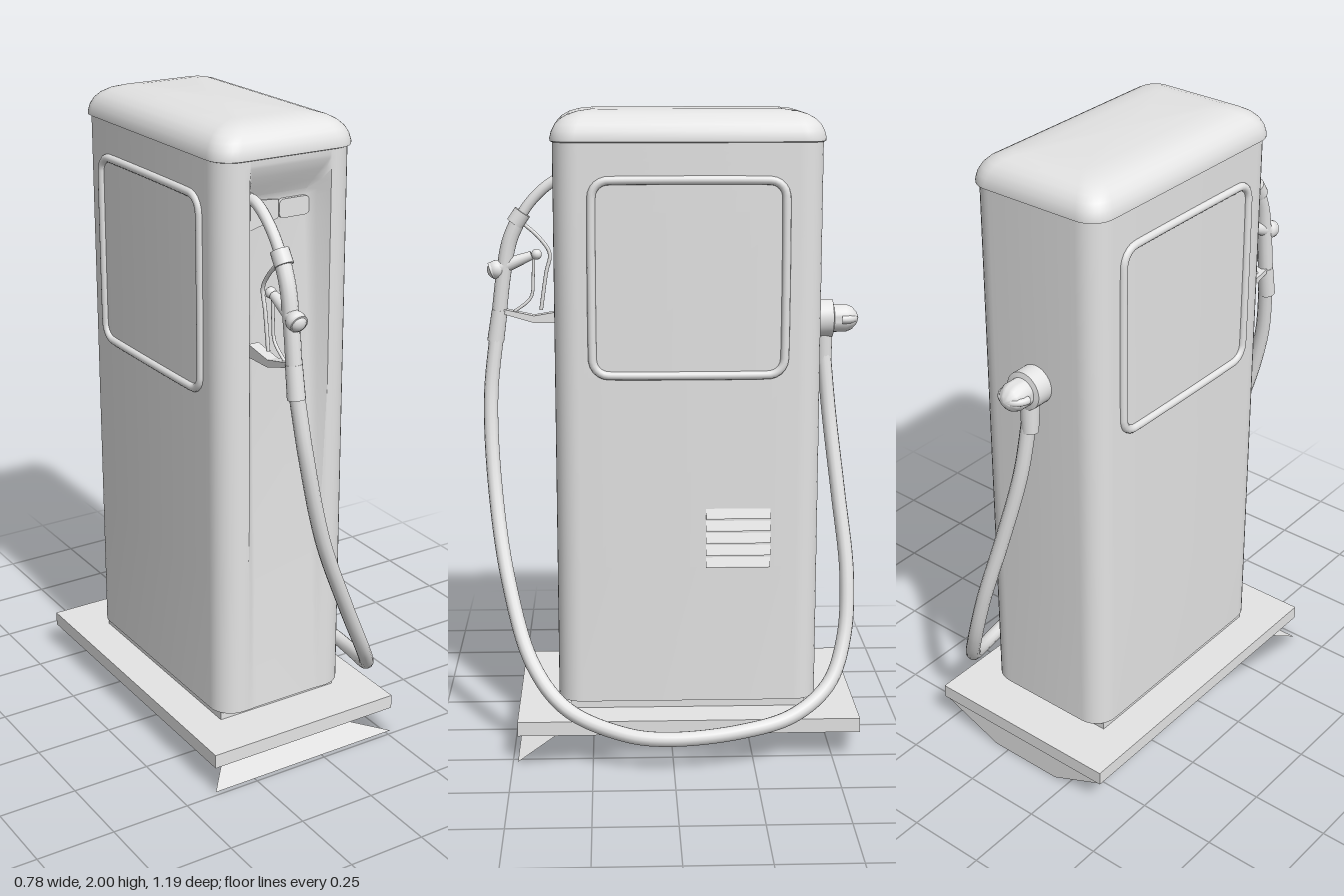
import * as THREE from 'three';
import { toCreasedNormals } from 'three/addons/utils/BufferGeometryUtils.js';

const CX = -0.056, CZ = -0.05, HW = 0.23, HD = 0.408;
const V = (x, y, z) => new THREE.Vector3(x, y, z);

export function createModel() {
  const model = new THREE.Group();
  const grey = new THREE.MeshStandardMaterial({ color: 0xe4e4e4 });
  grey.name = 'light grey';

  const add = (name, geo, x = 0, y = 0, z = 0) => {
    const m = new THREE.Mesh(geo, grey);
    m.name = name;
    m.position.set(x, y, z);
    model.add(m);
    return m;
  };
  const box = (name, x0, x1, y0, y1, z0, z1) =>
    add(name, new THREE.BoxGeometry(x1 - x0, y1 - y0, z1 - z0), (x0 + x1) / 2, (y0 + y1) / 2, (z0 + z1) / 2);
  const tube = (name, pts, r, segs = 24, closed = false) =>
    add(name, new THREE.TubeGeometry(new THREE.CatmullRomCurve3(pts, closed, 'centripetal'), segs, r, 12, closed));
  // straight round bar between two points
  const bar = (name, a, b, r0, r1 = r0) => {
    const m = add(name, new THREE.CylinderGeometry(r1, r0, a.distanceTo(b), 18));
    m.position.copy(a).lerp(b, 0.5);
    m.quaternion.setFromUnitVectors(V(0, 1, 0), b.clone().sub(a).normalize());
    return m;
  };

  // rounded rectangle as [u, v] points; extra points follow the first corner
  const outline = (hw, hd, r, extra = []) => {
    const pts = [];
    [[1, 1], [-1, 1], [-1, -1], [1, -1]].forEach(([sx, sz], q) => {
      for (let i = 0; i <= 8; i++) {
        const a = (q + i / 8) * Math.PI / 2;
        pts.push([sx * (hw - r) + r * Math.cos(a), sz * (hd - r) + r * Math.sin(a)]);
      }
      if (q === 0) pts.push(...extra);
    });
    return pts;
  };

  // skin over stacked rings, closed at both ends
  const loft = (rings, crease) => {
    const pos = [], put = (...vs) => vs.forEach(v => pos.push(v.x, v.y, v.z));
    const n = rings[0].length;
    const mid = r => V(CX, r[0].y, CZ);
    const last = rings[rings.length - 1];
    for (let j = 0; j < n; j++) {
      const k = (j + 1) % n;
      for (let i = 0; i + 1 < rings.length; i++) {
        const [a, b, c, d] = [rings[i][j], rings[i][k], rings[i + 1][j], rings[i + 1][k]];
        put(a, c, b, b, c, d);
      }
      put(mid(rings[0]), rings[0][j], rings[0][k]);
      put(mid(last), last[k], last[j]);
    }
    const g = new THREE.BufferGeometry();
    g.setAttribute('position', new THREE.Float32BufferAttribute(pos, 3));
    return toCreasedNormals(g, crease);
  };
  const ring = (pts, y) => pts.map(([x, z]) => V(CX + x, y, CZ + z));

  // cabinet: [height, recess depth, recess floor inset]; the front recess fades towards the foot
  const bodyLevels = [[0.16, 0.002, 0.03], [0.6, 0.02, 0.032], [1.2, 0.045, 0.038], [1.7, 0.068, 0.045],
    [1.765, 0.07, 0.046], [1.785, 0.063, 0.042], [1.815, 0.043, 0.033], [1.85, 0.02, 0.02],
    [1.88, 0.004, 0.01], [1.89, 0, 0.008], [1.915, 0, 0.008]];
  add('cabinet', loft(bodyLevels.map(([y, d, s]) => ring(outline(HW, HD, 0.075, [
    [0.14, HD], [0.14 - s / 2, HD - d * 0.6], [0.14 - s, HD - d],
    [-0.135 + s, HD - d], [-0.135 + s / 2, HD - d * 0.6], [-0.135, HD]]), y)), 0.9));

  // domed lid with a small lip: [height, offset]
  const lidLevels = [[1.905, 0], [1.908, 0.007], [1.918, 0.007], [1.938, 0.002], [1.957, -0.008],
    [1.973, -0.024], [1.986, -0.047], [1.995, -0.078], [2, -0.12]];
  add('lid', loft(lidLevels.map(([y, o]) =>
    ring(outline(HW + o, HD + o, Math.max(0.07 + o * 0.4, 0.03)), y)), 0.8));

  // base slab and plinth
  box('baseSlab', -0.39, 0.27, 0.085, 0.13, -0.585, 0.485);
  box('plinth', -0.27, 0.15, 0.13, 0.165, -0.42, 0.32);

  // wedge-shaped footing, open at the front corners; A is its inner peak
  const f = {
    L: [-0.39, 0, 0.485], R: [0.27, 0, 0.485], l: [-0.2, 0, -0.58], r: [0.05, 0, -0.58],
    lt: [-0.39, 0.085, -0.58], rt: [0.27, 0.085, -0.58], A: [-0.12, 0.085, 0.16],
  };
  const faces = ['L l R', 'R l r', 'L R A', 'A r rt', 'A lt l', 'l lt rt', 'l rt r'];
  const foot = new THREE.BufferGeometry();
  foot.setAttribute('position', new THREE.Float32BufferAttribute(
    faces.flatMap(t => t.split(' ').flatMap(k => f[k])), 3));
  foot.computeVertexNormals();
  add('footing', foot);

  // window frames on both sides
  for (const [name, x] of [['leftWindowFrame', CX + HW], ['rightWindowFrame', CX - HW]])
    tube(name, outline(0.292, 0.294, 0.05).map(([z, y]) => V(x, 1.5 + y, -0.05 + z)), 0.013, 160, true);

  // vent slats: each leans out towards its lower edge
  for (let i = 0; i < 5; i++) {
    const s = new THREE.Shape([[0, 0], [0.011, 0.002], [0.011, 0.005], [0, 0.036]].map(p => new THREE.Vector2(...p)));
    add('ventSlat', new THREE.ExtrudeGeometry(s, { depth: 0.2, bevelEnabled: false }),
      CX + HW - 0.001, 0.597 + i * 0.039, -0.305);
  }

  // switch plate and spout rest inside the recess
  const plate = new THREE.Shape(outline(0.052, 0.028, 0.016).map(p => new THREE.Vector2(...p)));
  add('switchPlate', new THREE.ExtrudeGeometry(plate, { depth: 0.02, bevelEnabled: false }), -0.003, 1.737, 0.28);
  const rest = new THREE.Shape([[-0.15, 1.685], [-0.055, 1.71], [-0.055, 1.765], [-0.15, 1.775]]
    .map(p => new THREE.Vector2(...p)));
  add('spoutRest', new THREE.ExtrudeGeometry(rest, { depth: 0.015, bevelEnabled: false }), 0, 0, 0.28);

  // swivel joint on the back
  const joint = [[0, 0], [0.06, 0], [0.06, 0.058], [0.044, 0.062], [0.044, 0.1], [0.036, 0.12], [0.018, 0.136], [0, 0.142]];
  const swivel = add('swivelJoint', toCreasedNormals(new THREE.LatheGeometry(
    joint.map(p => new THREE.Vector2(...p)), 32), 0.6), -0.057, 1.345, -0.455);
  swivel.rotation.x = -Math.PI / 2;
  add('swivelCap', new THREE.TorusGeometry(0.042, 0.013, 10, 24, Math.PI), -0.057, 1.345, -0.54).rotation.x = -Math.PI / 2;
  bar('hoseCollar', V(-0.057, 1.2, -0.488), V(-0.057, 1.3, -0.485), 0.026, 0.03);

  // hose looping from the back, round the left side, to the nozzle
  tube('hose', [[-0.057, 1.26, -0.486], [-0.03, 1.05, -0.505], [0.03, 0.8, -0.532], [0.1, 0.55, -0.556],
    [0.16, 0.36, -0.543], [0.225, 0.23, -0.49], [0.295, 0.152, -0.372], [0.345, 0.12, -0.2], [0.365, 0.107, 0.02],
    [0.347, 0.117, 0.15], [0.278, 0.175, 0.33], [0.19, 0.29, 0.437], [0.06, 0.52, 0.515], [-0.065, 0.8, 0.56],
    [-0.135, 1.08, 0.572], [-0.16, 1.3, 0.549]].map(p => V(...p)), 0.023, 140);

  // nozzle: sleeve, handle, spout, valve, lever guard
  const X = -0.16, P = (y, z) => V(X, y, z);
  bar('nozzleSleeve', P(1.26, 0.555), P(1.36, 0.54), 0.027, 0.025);
  tube('nozzleHandle', [P(1.34, 0.543), P(1.48, 0.525), P(1.58, 0.505), P(1.66, 0.47)], 0.024);
  tube('spout', [P(1.64, 0.48), P(1.7, 0.44), P(1.75, 0.39), P(1.78, 0.34), P(1.785, 0.28)], 0.017);
  bar('spoutRing', P(1.635, 0.487), P(1.672, 0.462), 0.028);
  bar('valve', P(1.485, 0.565), P(1.535, 0.435), 0.028, 0.014);
  add('valveKnob', new THREE.SphereGeometry(0.03, 18, 12), X, 1.49, 0.548);
  add('valveTip', new THREE.SphereGeometry(0.017, 14, 10), X, 1.538, 0.42);
  tube('leverGuard', [P(1.64, 0.465), P(1.59, 0.41), P(1.54, 0.378), P(1.48, 0.39), P(1.36, 0.408)], 0.006, 30);
  tube('lever', [P(1.53, 0.43), P(1.46, 0.432), P(1.4, 0.44), P(1.35, 0.5)], 0.005, 24);

  // cradle that holds the nozzle
  const cradle = new THREE.Shape([[0.33, 1.32], [0.43, 1.32], [0.53, 1.35], [0.53, 1.365], [0.43, 1.343], [0.33, 1.36]]
    .map(p => new THREE.Vector2(...p)));
  add('cradle', new THREE.ExtrudeGeometry(cradle, { depth: 0.035, bevelEnabled: false }), X + 0.0175).rotation.y = -Math.PI / 2;

  return model;
}
